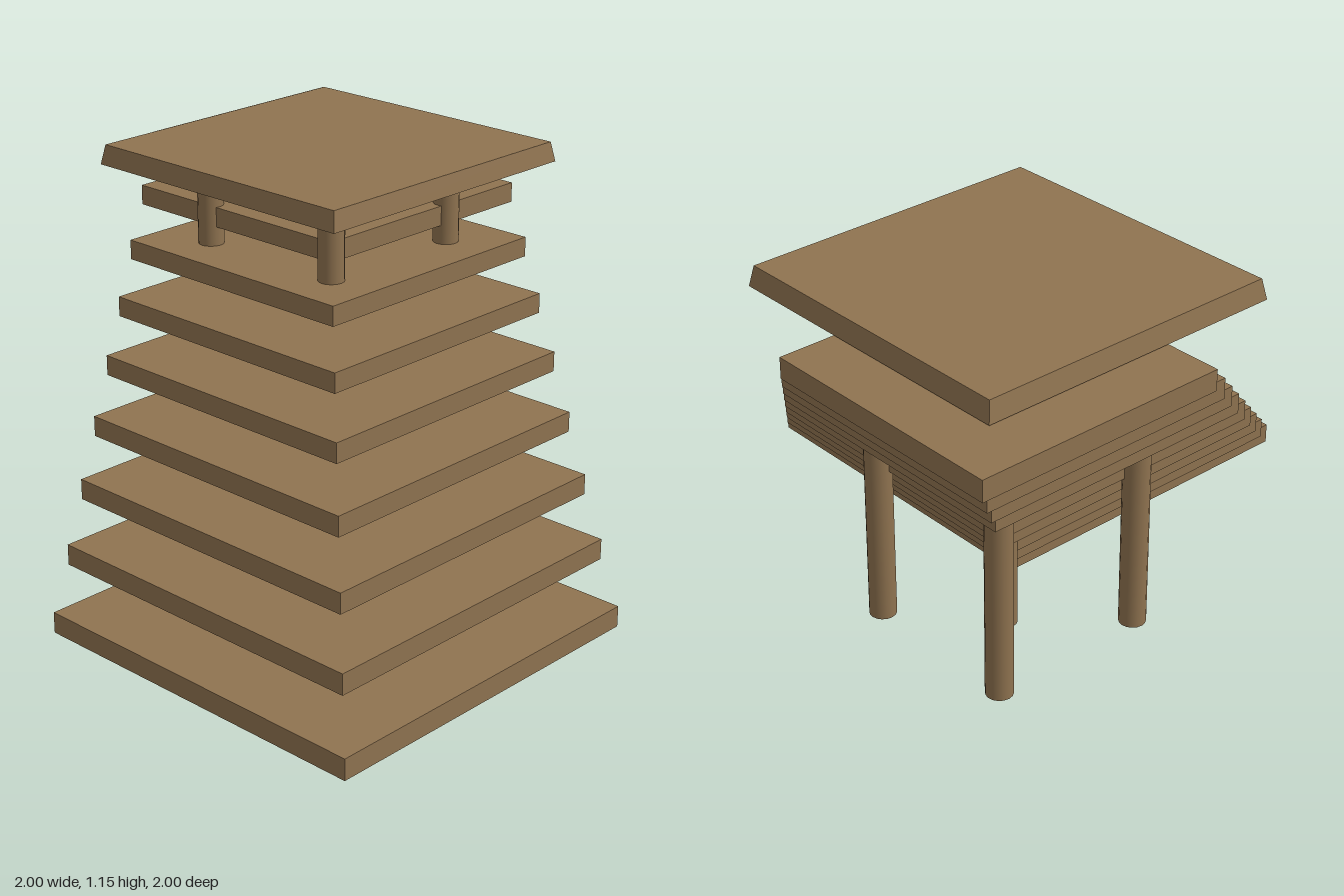
import * as THREE from 'three';

const wood = new THREE.MeshStandardMaterial({ color: 0x8f7350 });
wood.name = 'wood';

// Every part is mirrored about the diagonal x = -z, so centres lie at (c, -c).
function add(group, name, geometry, x, y, z) {
  const mesh = new THREE.Mesh(geometry, wood);
  mesh.name = name;
  mesh.position.set(x, y, z);
  group.add(mesh);
}

// Upright round post from y0 to y1
function addPost(group, name, x, z, radius, y0, y1) {
  add(group, name, new THREE.CylinderGeometry(radius, radius, y1 - y0, 16), x, (y0 + y1) / 2, z);
}

export function createModel() {
  const model = new THREE.Group();
  model.name = 'steppedPlatform';

  // Nine square platforms climbing along the diagonal, shrinking as they rise
  const count = 9, thickness = 0.065, rise = 0.1275;
  const platformCentre = (i) => -0.425 + 0.1275 * i;
  for (let i = 0; i < count; i++) {
    const size = 1.15 - 0.0425 * i;
    const c = platformCentre(i);
    add(model, `platform${i + 1}`, new THREE.BoxGeometry(size, thickness, size),
      c, i * rise + thickness / 2, -c);
  }

  // Slim supports under every second platform; those over the base start inside it
  for (const i of [1, 3, 5]) {
    const c = platformCentre(i + 1);
    addPost(model, `support${i + 1}`, c, -c, 0.032, i === 5 ? 0 : 0.03, i * rise + 0.01);
  }

  // Four roof posts
  for (const x of [0.055, 0.583]) {
    for (const z of [-0.055, -0.583]) {
      const onBase = x < 0.1 && z > -0.1;
      addPost(model, 'roofPost', x, z, 0.042, onBase ? 0.03 : 0, 1.075);
    }
  }

  // Flat roof with sloped rim
  const roof = new THREE.CylinderGeometry(0.494 * Math.SQRT2, 0.506 * Math.SQRT2, 0.064, 4)
    .rotateY(Math.PI / 4).toNonIndexed();
  roof.computeVertexNormals();
  add(model, 'roof', roof, 0.32, 1.122, -0.32);

  return model;
}
